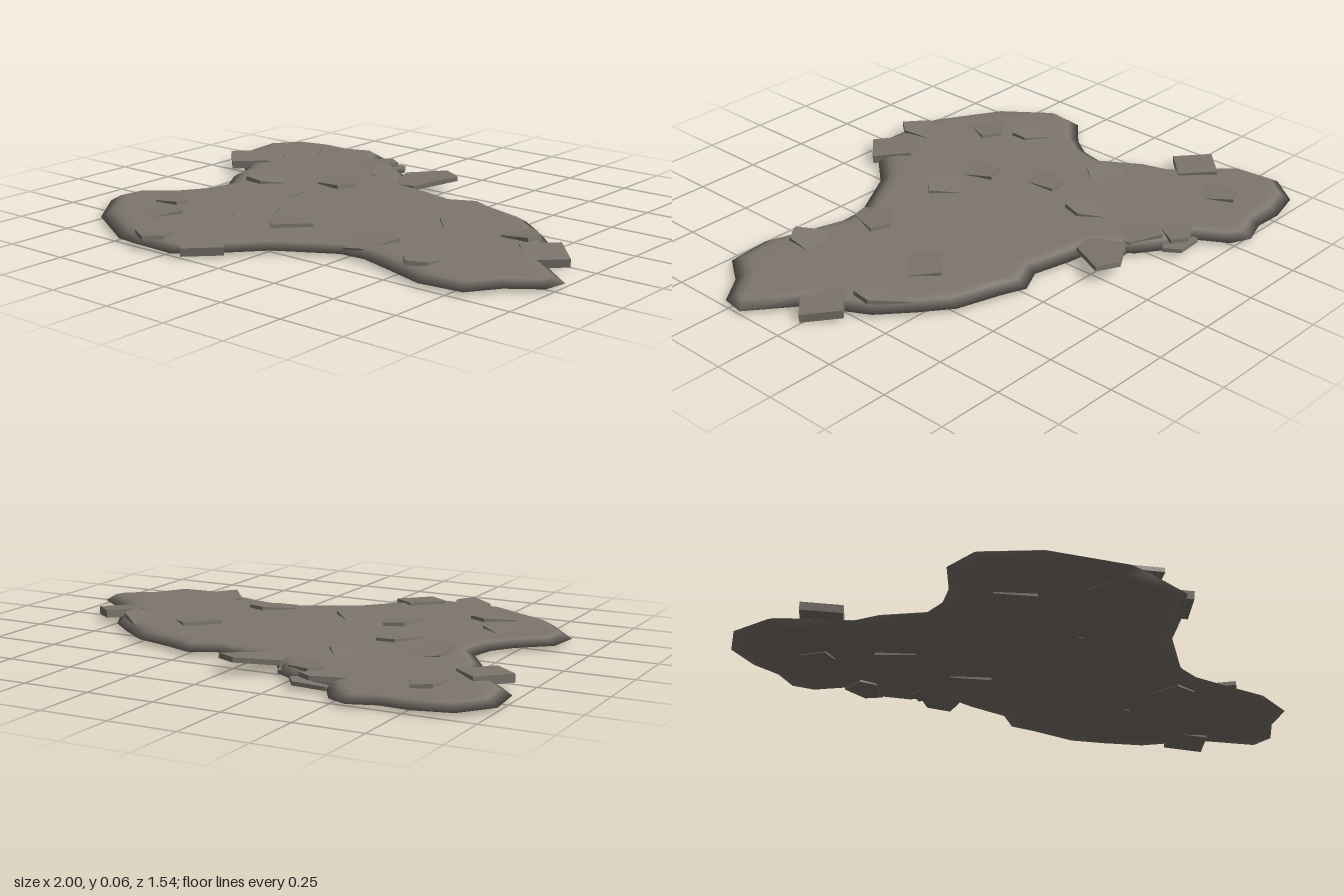
import * as THREE from 'three';

const stone = new THREE.MeshStandardMaterial({ color: 0x7d766e });
stone.name = 'grey stone';

// Slab outline as x, z pairs
const OUTLINE = [
  [-1, -.59], [-.91, -.71], [-.775, -.745], [-.665, -.74], [-.565, -.775], [-.49, -.74], [-.42, -.625],
  [-.33, -.625], [-.2, -.535], [-.12, -.42], [0, -.405], [.145, -.37], [.24, -.415], [.33, -.38],
  [.495, -.33], [.6, -.25], [.715, -.15], [.76, -.07], [.835, .06], [1, .19], [.985, .28], [.875, .36],
  [.8, .47], [.63, .487], [.485, .44], [.335, .395], [.235, .4], [.025, .52], [-.09, .65], [-.21, .76],
  [-.4, .755], [-.485, .745], [-.735, .6], [-.875, .42], [-.86, .285], [-.745, .185], [-.69, .105],
  [-.67, .01], [-.765, -.135], [-.79, -.225], [-.915, -.35], [-.985, -.43],
];

// Outline moved inward by d
function inset(d) {
  const n = OUTLINE.length;
  return OUTLINE.map(([x, z], i) => {
    const a = OUTLINE[(i + n - 1) % n], b = OUTLINE[(i + 1) % n];
    const tx = b[0] - a[0], tz = b[1] - a[1], l = Math.hypot(tx, tz);
    return new THREE.Vector2(x - tz / l * d, z + tx / l * d);
  });
}

// Slab: rings from the underside, round the thin rim, to the flat top
function slabGeometry() {
  const rings = [[.07, .011], [0, .013], [.04, .036], [.07, .04]]
    .map(([d, y]) => ({ y, pts: inset(d) }));
  const n = OUTLINE.length, pos = [], idx = [];
  rings.forEach(r => r.pts.forEach(p => pos.push(p.x, r.y, p.y)));
  for (let k = 0; k < rings.length - 1; k++) {
    for (let i = 0; i < n; i++) {
      const a = k * n + i, b = k * n + (i + 1) % n;
      idx.push(a, a + n, b, b, a + n, b + n);
    }
  }
  const cap = (k, up) => {
    const p = rings[k].pts;
    THREE.ShapeUtils.triangulateShape(p, []).forEach(([a, b, c]) => {
      const cross = (p[b].x - p[a].x) * (p[c].y - p[a].y) - (p[b].y - p[a].y) * (p[c].x - p[a].x);
      const t = (cross < 0) === up ? [a, b, c] : [a, c, b];
      idx.push(...t.map(v => v + k * n));
    });
  };
  cap(0, false);
  cap(rings.length - 1, true);
  const g = new THREE.BufferGeometry();
  g.setAttribute('position', new THREE.Float32BufferAttribute(pos, 3));
  g.setIndex(idx);
  g.computeVertexNormals();
  return g;
}

// Irregular five-sided chip of unit length lying along x
function chipGeometry() {
  const s = new THREE.Shape([[-.5, -.12], [-.22, -.36], [.5, -.2], [.42, .16], [-.2, .34]]
    .map(p => new THREE.Vector2(...p)));
  return new THREE.ExtrudeGeometry(s, { depth: 1, bevelEnabled: false })
    .translate(0, 0, -.5).rotateX(-Math.PI / 2);
}

export function createModel() {
  const group = new THREE.Group();
  const add = (name, geo, x, y, z, turn, tiltX, tiltZ) => {
    const m = new THREE.Mesh(geo, stone);
    m.name = name;
    m.position.set(x, y, z);
    m.rotation.set(tiltX, turn, tiltZ, 'YXZ');
    group.add(m);
    return m;
  };
  add('slab', slabGeometry(), 0, 0, 0, 0, 0, 0);

  // Square tiles set diagonally, some showing only below
  const tile = new THREE.BoxGeometry(.148, .03, .148);
  [[-.845, .036, -.315, .05], [.797, .024, .005, .1], [.406, .03, -.07, .11],
    [-.096, .03, .28, -.1], [-.17, .03, .655, .08],
    [-.147, .018, -.273, .04], [-.466, .018, -.34, -.04], [-.535, .018, .285, .04],
  ].forEach(([x, y, z, tilt]) => add('tile', tile, x, y, z, Math.PI / 4, tilt, 0));

  // Stone chips: x, z, length, turn, tilt
  const chip = chipGeometry();
  [[-.72, -.49, .2, 1.8, .1], [-.54, -.13, .22, .6, -.1], [-.37, .04, .19, 1.4, .08],
    [-.32, -.25, .21, 2, -.1], [-.28, -.48, .17, 2.4, .1], [.62, -.11, .2, 2.2, -.1],
    [.27, .29, .2, 1, .1], [.54, .33, .2, 1.3, -.12], [-.26, .29, .21, 1.7, .1],
    [-.37, .67, .2, 1.6, -.08], [-.56, .5, .2, .9, .1], [-.64, .33, .17, 2.3, -.09],
    [-.4, -.57, .18, .8, .08],
  ].forEach(([x, z, len, turn, tilt]) =>
    add('topChip', chip, x, .036, z, turn, tilt * .4, tilt).scale.set(len, .016, len));

  // Larger chip jutting out over the back edge
  add('edgeChip', chip, -.09, .042, -.485, .85, .05, .1).scale.set(.25, .018, .25);

  // Chips on the underside
  [[.42, .22, .24, .6, .05], [.28, -.12, .18, 1.2, -.07], [-.37, -.6, .18, .4, .07],
    [-.4, .6, .18, 2, -.07], [-.66, -.55, .18, 1, .06], [-.2, -.42, .17, 1.7, -.06],
  ].forEach(([x, z, len, turn, tilt]) =>
    add('undersideChip', chip, x, .016, z, turn, 0, tilt).scale.set(len, .014, len));

  // Rest the lowest point on the ground
  group.updateMatrixWorld(true);
  const low = new THREE.Box3().setFromObject(group, true).min.y;
  group.children.forEach(c => { c.position.y -= low; });
  return group;
}
